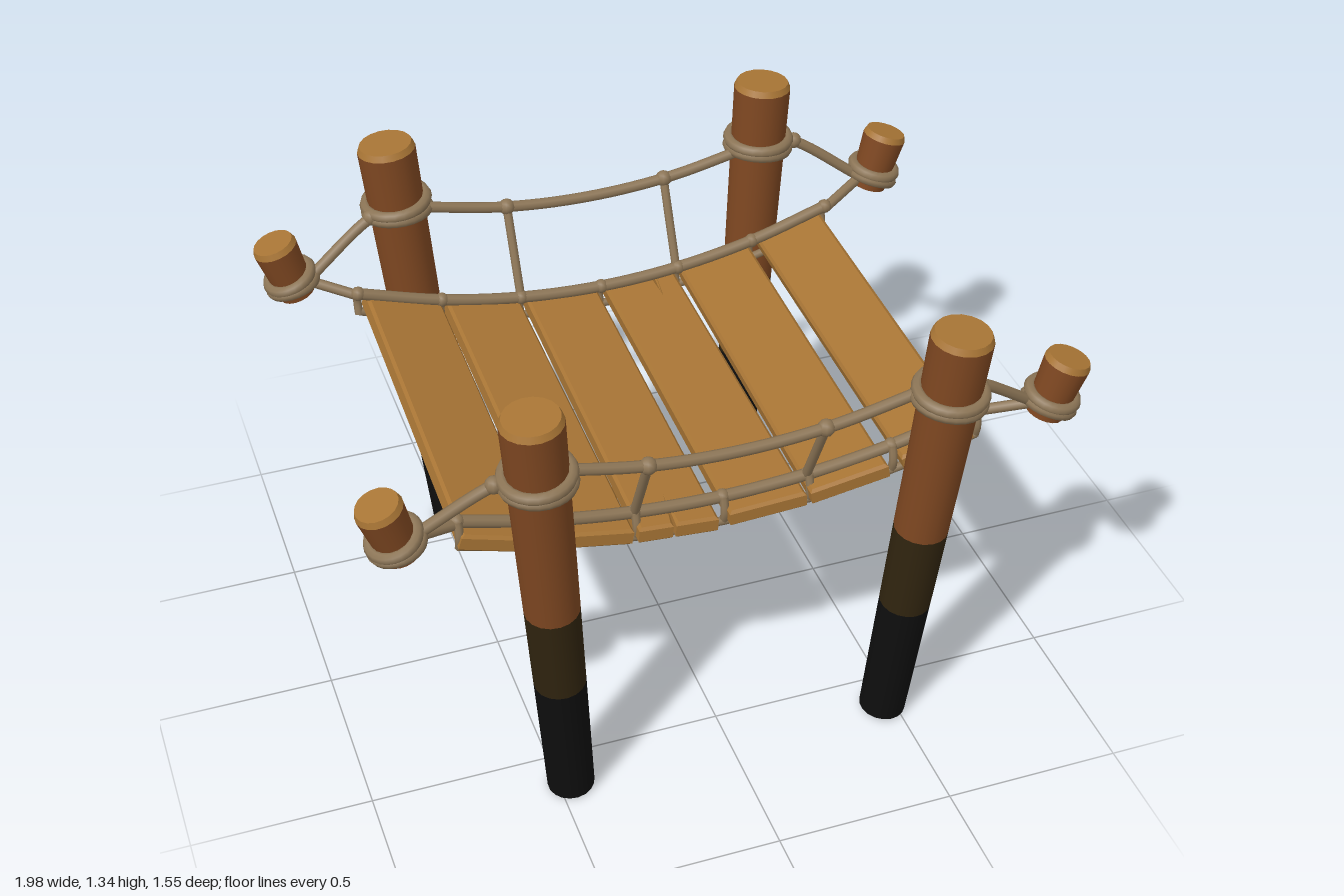
import * as THREE from 'three';

const mat = (name, color) => {
  const m = new THREE.MeshStandardMaterial({ color });
  m.name = name;
  return m;
};

export function createModel() {
  const root = new THREE.Group();
  root.name = 'ropeBridge';
  const bark = mat('barkBrown', 0x7e4721);
  const cut = mat('cutWood', 0xa87535);
  const plankMat = mat('plankWood', 0xa87535);
  const rope = mat('rope', 0x8c7556);
  const wet = mat('wetWood', 0x30240f);
  const tar = mat('blackWood', 0x0e0e0e);

  const V = (x, y, z) => new THREE.Vector3(x, y, z);
  const add = (parent, name, geo, material) => {
    const m = new THREE.Mesh(geo, material);
    m.name = name;
    parent.add(m);
    return m;
  };
  const cord = (name, pts, r) =>
    add(root, name, new THREE.TubeGeometry(new THREE.CatmullRomCurve3(pts), pts.length * 6, r, 8), rope);
  const knot = (p, r = 0.022) => add(root, 'knot', new THREE.SphereGeometry(r, 10, 8), rope).position.copy(p);

  // Leaning log: bands is a list of [from, to, material], as fractions of its length
  function log(name, bottom, top, r0, r1, bands) {
    const g = new THREE.Group();
    g.name = name;
    const axis = top.clone().sub(bottom);
    const len = axis.length();
    g.position.copy(bottom);
    g.quaternion.setFromUnitVectors(V(0, 1, 0), axis.normalize());
    const rad = (t) => r0 + (r1 - r0) * t;
    bands.forEach(([a, b, m], i) => {
      const open = i > 0;
      const geo = new THREE.CylinderGeometry(rad(b), rad(a), (b - a) * len, 18, 1, open);
      geo.translate(0, ((a + b) / 2) * len, 0);
      add(g, 'logBand', geo, m);
    });
    // Bevelled sawn end
    const cap = new THREE.CylinderGeometry(r1 * 0.9, r1, 0.018, 18);
    cap.translate(0, len + 0.009, 0);
    add(g, 'sawnEnd', cap, cut);
    // Two turns of rope
    g.wrap = (h, tilt) => [-1, 1].forEach((k) => {
      const t = add(g, 'ropeWrap', new THREE.TorusGeometry(rad(h / len) + 0.007, 0.017, 8, 24), rope);
      t.rotation.set(Math.PI / 2 + tilt * k, tilt * 0.6 * k, 0);
      t.position.y = h + k * 0.014;
    });
    root.add(g);
    return g;
  }

  // Four tall posts, and a short stake outside each
  for (const sx of [-1, 1]) for (const sz of [-1, 1]) {
    const same = sx === sz;
    const tx = same ? 0.575 : 0.55;
    const tz = same ? 0.68 : 0.66;
    log('post', V(sx * 0.465, 0.006, sz * 0.61), V(sx * tx, 1.312, sz * tz), 0.065, 0.083,
      [[0, 0.31, tar], [0.31, 0.515, wet], [0.515, 1, bark]]).wrap(1.13, 0.06);
    log('stake', V(sx * 0.88, 0.945, sz * 0.6), V(sx * 0.928, 1.1, sz * 0.607), 0.053, 0.064,
      [[0, 1, bark]]).wrap(0.045, 0.1);
  }

  // Deck follows a shallow sag
  const deckY = (x) => 0.785 + 0.24 * x * x;

  // Planks: [x, width, yaw, crack direction]
  [[-0.605, 0.225, -0.02, 0], [-0.367, 0.222, -0.014, 0], [-0.13, 0.218, -0.02, 1],
    [0.117, 0.215, -0.012, -1], [0.352, 0.222, -0.02, 0], [0.597, 0.205, -0.012, 0]].forEach(([x, w, yaw, crack], i) => {
    const bevel = 0.008;
    const h = w / 2 - bevel;
    const l = 0.568 - bevel - (i % 2) * 0.004;
    const s = new THREE.Shape();
    s.moveTo(-h, -l);
    if (crack < 0) { s.lineTo(0.032, -l); s.lineTo(0.04, -l + 0.13); s.lineTo(0.055, -l); }
    s.lineTo(h, -l);
    s.lineTo(h, l);
    if (crack > 0) { s.lineTo(0.0, l); s.lineTo(-0.004, l - 0.12); s.lineTo(-0.022, l); }
    s.lineTo(-h, l);
    const geo = new THREE.ExtrudeGeometry(s, {
      depth: 0.034, bevelEnabled: true, bevelSize: bevel, bevelThickness: bevel, bevelOffset: 0, bevelSegments: 1,
    });
    geo.translate(0, 0, -0.017);
    geo.rotateX(Math.PI / 2);
    const p = add(root, 'plank', geo, plankMat);
    p.position.set(x, deckY(x), 0.007);
    p.rotation.set(0, yaw, Math.atan(0.5 * x));
    // Chipped end
    if (i === 2 || i === 4) {
      const chip = add(p, 'plankChip', new THREE.BoxGeometry(0.07, 0.004, 0.03), bark);
      chip.position.set(0, 0.0245, -l + 0.014);
    }
  });

  // Ropes along each side
  for (const s of [-1, 1]) {
    const z = (x) => s * (0.515 + 0.03 * x * x);
    const railY = (x) => 1.062 + 0.27 * x * x;
    const xs = [-0.72, -0.48, -0.245, 0, 0.24, 0.475, 0.71];
    cord('upperDeckRope', xs.map((x) => V(x, deckY(x) + 0.037, z(x))), 0.017);
    cord('lowerDeckRope', xs.map((x) => V(x, deckY(x) - 0.034, z(x) + s * 0.015)), 0.012);
    xs.forEach((x) => {
      const y = deckY(x);
      cord('deckTie', [V(x, y + 0.045, z(x) + s * 0.012), V(x, y, z(x) + s * 0.022), V(x, y - 0.04, z(x) + s * 0.012)], 0.012);
      knot(V(x, y + 0.037, z(x)), 0.021);
    });

    // Sagging handrail with two hangers
    cord('handrail', [-0.52, -0.25, 0, 0.25, 0.52].map((x) => V(x, railY(x), s * 0.633)), 0.016);
    for (const x of [-0.245, 0.235]) {
      cord('hanger', [V(x, railY(x), s * 0.633), V(x, deckY(x) + 0.04, s * 0.52)], 0.013);
      knot(V(x, railY(x), s * 0.633), 0.024);
    }

    // Guy ropes from the stakes to the posts and the deck
    for (const d of [-1, 1]) {
      cord('postGuy', [V(d * 0.845, 0.985, s * 0.595), V(d * 0.64, 1.125, s * 0.635), V(d * 0.56, 1.14, s * 0.64)], 0.016);
      knot(V(d * 0.645, 1.125, s * 0.635), 0.024);
      cord('deckGuy', [V(d * 0.85, 0.98, s * 0.595), V(d * 0.715, deckY(0.715) + 0.03, z(0.715))], 0.015);
    }
  }
  return root;
}
